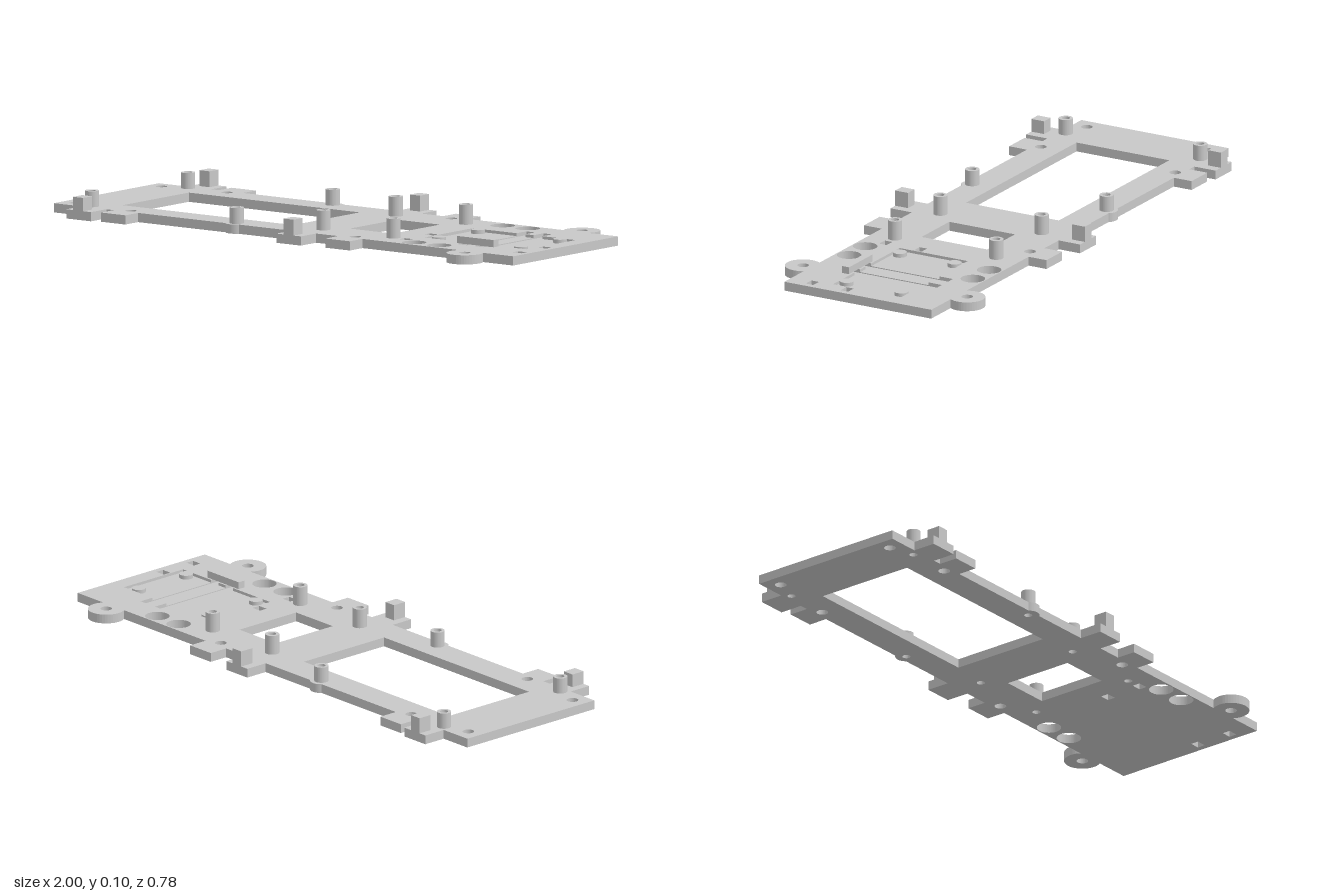
import * as THREE from 'three';

const THICK = 0.032, FLOOR = 0.022, CHANNEL = 0.019, HALF = 0.293;

export function createModel() {
  const group = new THREE.Group();
  const grey = new THREE.MeshStandardMaterial({ color: 0xc8c8c8 });
  grey.name = 'grey plastic';

  const add = (name, geometry) => {
    const mesh = new THREE.Mesh(geometry, grey);
    mesh.name = name;
    group.add(mesh);
  };
  // Extrude a shape drawn in (x, z) between two heights
  const slab = (shape, y0, y1) => new THREE.ExtrudeGeometry(shape, {
    depth: y1 - y0, bevelEnabled: false, curveSegments: 28,
  }).rotateX(Math.PI / 2).translate(0, y1, 0);
  const points = (list) => list.map(([x, z]) => new THREE.Vector2(x, z));
  const circle = (x, z, r) => new THREE.Path().absarc(x, z, r, 0, Math.PI * 2, true);
  const rect = (x0, x1, z0, z1) => new THREE.Path(
    points([[x0, z0], [x0, z1], [x1, z1], [x1, z0], [x0, z0]]));
  const box = (name, x0, x1, y0, y1, z0, z1) => add(name,
    new THREE.BoxGeometry(x1 - x0, y1 - y0, z1 - z0)
      .translate((x0 + x1) / 2, (y0 + y1) / 2, (z0 + z1) / 2));

  // One long edge of the plate, with its square tabs and round ears
  const edge = [[-1, HALF]];
  const tab = (x0, x1, z) => edge.push([x0, HALF], [x0, z], [x1, z], [x1, HALF]);
  const ear = (x, z, r) => {
    const phi = Math.asin((HALF - z) / r);
    for (let i = 0; i <= 28; i++) {
      const a = Math.PI - phi + (2 * phi - Math.PI) * i / 28;
      edge.push([x + r * Math.cos(a), z + r * Math.sin(a)]);
    }
  };
  tab(-0.879, -0.771, 0.378);
  tab(-0.738, -0.633, 0.364);
  ear(-0.223, 0.27, 0.037);
  tab(0.035, 0.142, 0.378);
  tab(0.238, 0.344, 0.364);
  ear(0.816, 0.327, 0.063);
  edge.push([1, HALF]);
  // Wound counter-clockwise so that the hole walls face into the holes
  const outline = points([...edge.map(([x, z]) => [x, -z]), ...edge.reverse()]);

  // Openings through the plate
  const standoffs = [[-0.853, 0.268, 0.087], [-0.223, 0.268, 0.087], [0.103, 0.202, 0.1], [0.408, 0.202, 0.1]];
  const round = [[-0.947, 0.24, 0.02], [-0.684, 0.268, 0.02], [0.293, 0.268, 0.02],
    [0.533, 0.247, 0.042], [0.642, 0.247, 0.042], [0.816, 0.327, 0.02],
    ...standoffs.map(([x, z]) => [x, z, 0.014])];
  const openings = [rect(-0.785, -0.041, -0.185, 0.185), rect(0.163, 0.35, -0.131, 0.131)];
  for (const [x, z, r] of round) openings.push(circle(x, z, r), circle(x, -z, r));
  for (const x of [0.466, 0.96]) {
    for (const z of [0.066, 0.205]) openings.push(rect(x - 0.019, x + 0.019, z - 0.015, z + 0.015));
  }

  // Shallow tray crossed by two slightly deeper cable channels
  const [a0, a1, b0, b1] = [0.68, 0.718, 0.754, 0.792];
  const trayEdge = [[0.49, 0.136], [a0, 0.136], [a0, 0.19], [a1, 0.19], [a1, 0.136],
    [b0, 0.136], [b0, 0.19], [b1, 0.19], [b1, 0.136], [0.937, 0.136]];
  const tray = new THREE.Path(points([...trayEdge.map(([x, z]) => [x, -z]), ...trayEdge.reverse()]));
  const channels = [rect(a0, a1, -0.19, 0.19), rect(b0, b1, -0.19, 0.19)];

  // The plate in layers: underside, tray floor, top
  const layer = (name, y0, y1, pockets) => {
    const shape = new THREE.Shape(outline);
    shape.holes.push(...openings, ...pockets);
    add(name, slab(shape, y0, y1));
  };
  layer('basePlate', 0, CHANNEL, []);
  layer('trayFloorPlate', CHANNEL, FLOOR, channels);
  layer('topPlate', FLOOR, THICK, [tray]);

  // Hollow standoffs, mirrored front to back
  for (const s of [1, -1]) {
    for (const [x, z, h] of standoffs) {
      const ring = new THREE.Shape().absarc(x, s * z, 0.0245, 0, Math.PI * 2, false);
      ring.holes.push(circle(x, s * z, 0.014));
      add('standoff', slab(ring, THICK, h));
    }
  }

  // Clip posts on the outer tabs; one front post is slightly lower
  for (const [x, s, h] of [[-0.828, 1, 0.078], [-0.828, -1, 0.087], [0.088, 1, 0.087], [0.088, -1, 0.087]]) {
    box('clipPost', x - 0.022, x + 0.022, THICK, h, s * 0.3525 - 0.0255, s * 0.3525 + 0.0255);
  }

  // Support pads in the tray corners and the retaining bar
  for (const x of [0.533, 0.891]) {
    for (const z of [-0.109, 0.109]) {
      add('trayPad', new THREE.CylinderGeometry(0.024, 0.024, 0.0355 - FLOOR, 28)
        .translate(x, (0.0355 + FLOOR) / 2, z));
    }
  }
  box('retainingBar', 0.659, 0.818, THICK, 0.057, 0.143, 0.17);

  return group;
}
